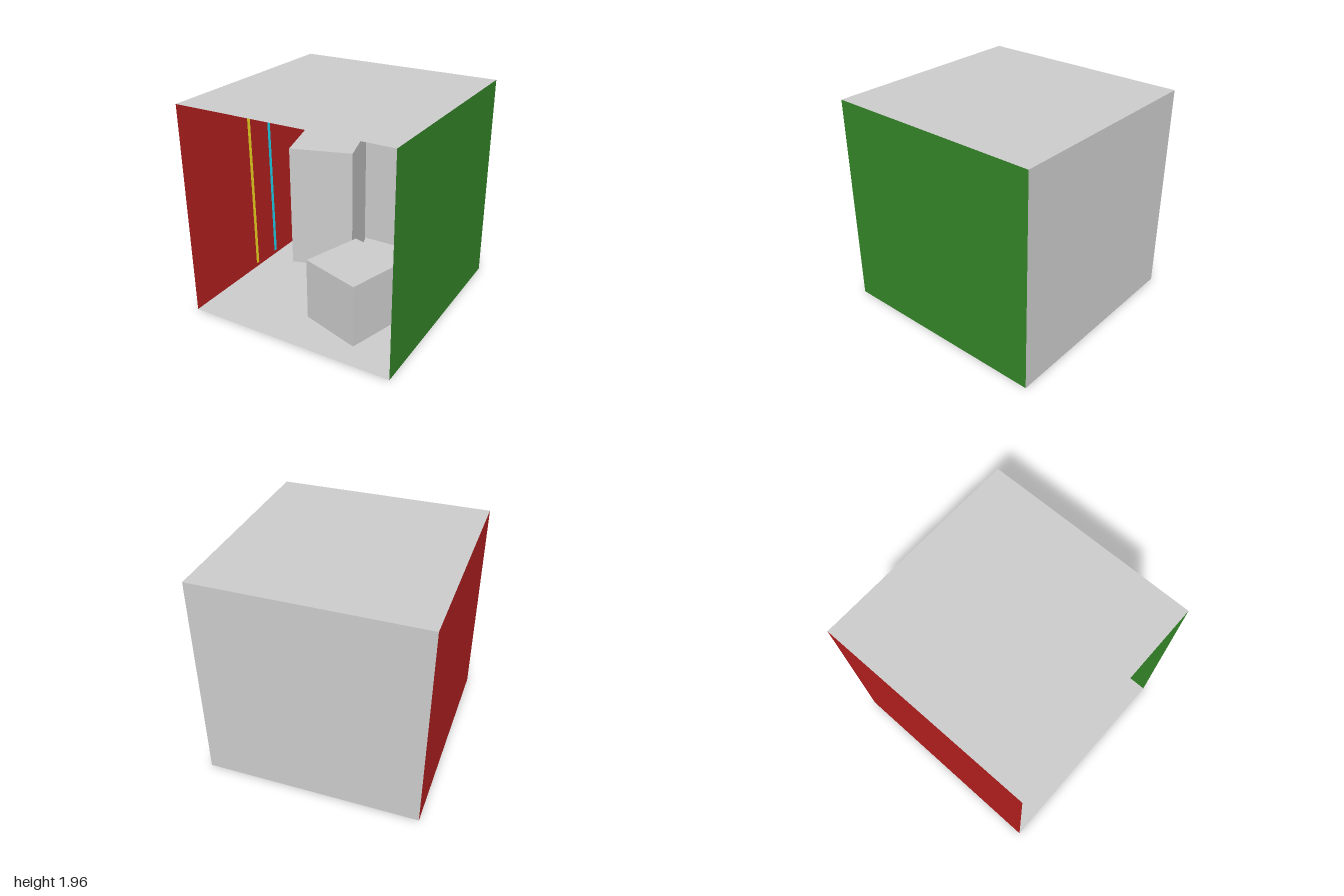
import * as THREE from 'three';

const H = 1.963; // room height
const X = 0.994; // half width; the depth runs from z = -1 to z = 1

const material = (color) => new THREE.MeshStandardMaterial({ color, flatShading: true, side: THREE.DoubleSide });
const grey = material(0xcccccc);
const red = material(0xb72020);
const green = material(0x348628);
const yellow = material(0xf5dc20);
const cyan = material(0x20d8f5);

// Thin panel through four corners in order
function panel(name, corners, mat) {
  const geo = new THREE.BufferGeometry();
  geo.setAttribute('position', new THREE.Float32BufferAttribute(corners.flat(), 3));
  geo.setIndex([0, 1, 2, 0, 2, 3]);
  geo.computeVertexNormals();
  const mesh = new THREE.Mesh(geo, mat);
  mesh.name = name;
  return mesh;
}

// Upright block over a four-cornered [x, z] footprint
function block(name, footprint, base, height) {
  const shape = new THREE.Shape(footprint.map(([x, z]) => new THREE.Vector2(x, -z)));
  const geo = new THREE.ExtrudeGeometry(shape, { depth: height, bevelEnabled: false });
  geo.rotateX(-Math.PI / 2);
  const mesh = new THREE.Mesh(geo, grey);
  mesh.name = name;
  mesh.position.y = base;
  return mesh;
}

// The red wall leans slightly inward at the foot, more so at the back
const footX = (z) => -0.977 - 0.006 * z;
const wallX = (y, z) => THREE.MathUtils.lerp(footX(z), -X, y / H);

// Narrow vertical stripe lying just inside the red wall
function stripe(name, z, mat) {
  const w = 0.02, low = 0.04, high = H - 0.04, gap = 0.004;
  const corner = (y, cz) => [wallX(y, cz) + gap, y, cz];
  return panel(name, [corner(low, z + w), corner(low, z - w), corner(high, z - w), corner(high, z + w)], mat);
}

export function createModel() {
  const model = new THREE.Group();
  model.name = 'openRoom';

  // Room shell, open at the front
  model.add(
    panel('floor', [[footX(1), 0, 1], [X, 0, 1], [X, 0, -1], [footX(-1), 0, -1]], grey),
    panel('ceiling', [[-X, H, 1], [-X, H, -1], [X, H, -1], [X, H, 1]], grey),
    panel('backWall', [[footX(-1), 0, -1], [X, 0, -1], [X, H, -1], [-X, H, -1]], grey),
    panel('greenWall', [[X, 0, -1], [X, 0, 1], [X, H, 1], [X, H, -1]], green),
    panel('redWall', [[footX(1), 0, 1], [footX(-1), 0, -1], [-X, H, -1], [-X, H, 1]], red),
  );

  // Stripes on the red wall
  model.add(stripe('yellowStripe', 0.09, yellow), stripe('cyanStripe', -0.215, cyan));

  // Short block on the floor, tall block raised above it
  model.add(
    block('shortBlock', [[0.529, 0.768], [0.701, 0.195], [0.136, 0.027], [-0.043, 0.592]], 0, 0.59),
    block('tallBlock', [[-0.519, 0.117], [0.046, -0.059], [-0.129, -0.631], [-0.694, -0.452]], 0.2, 1.18),
  );
  return model;
}
